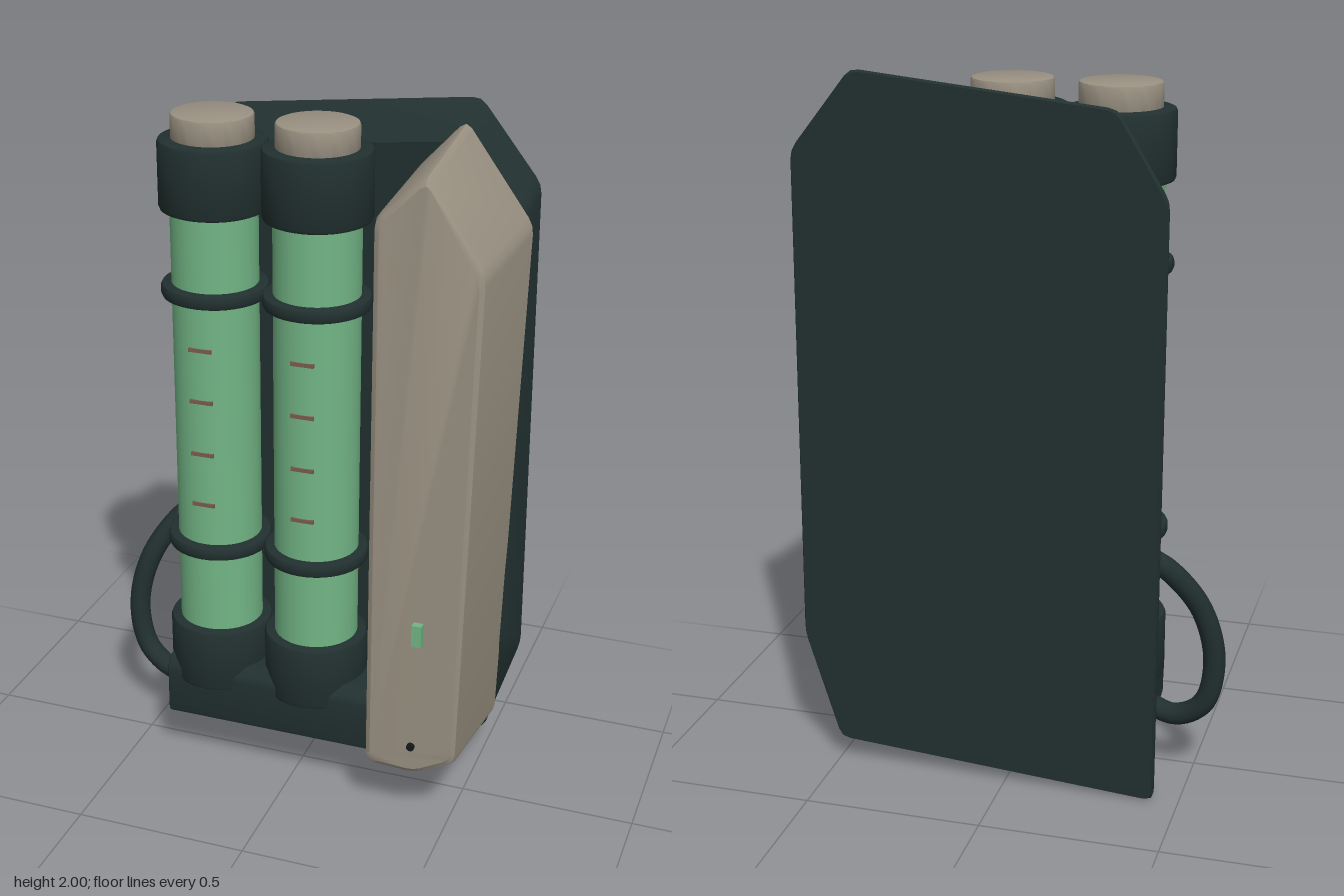
import * as THREE from 'three';
import { toCreasedNormals } from 'three/addons/utils/BufferGeometryUtils.js';

const mat = (name, color) => Object.assign(new THREE.MeshStandardMaterial({ color }), { name });

// Replace every corner of a polygon by a short three-point curve
function roundCorners(points, r) {
  const out = [];
  points.forEach((p, i) => {
    const c = new THREE.Vector2(...p);
    const a = new THREE.Vector2(...points.at(i - 1));
    const b = new THREE.Vector2(...points[(i + 1) % points.length]);
    const p0 = c.clone().add(a.sub(c).setLength(r));
    const p2 = c.clone().add(b.sub(c).setLength(r));
    const mid = p0.clone().add(p2).multiplyScalar(0.25).addScaledVector(c, 0.5);
    out.push(p0, mid, p2);
  });
  return out;
}

// Join counter-clockwise sections { z, pts } from back to front and cap both ends
function loft(sections, crease = 0.5) {
  const pos = [];
  const put = (s, i) => {
    const p = s.pts[i % s.pts.length];
    pos.push(p.x, p.y, s.z);
  };
  const n = sections[0].pts.length;
  for (let k = 0; k < sections.length - 1; k++) {
    const a = sections[k], b = sections[k + 1];
    for (let i = 0; i < n; i++) {
      put(a, i); put(a, i + 1); put(b, i + 1);
      put(a, i); put(b, i + 1); put(b, i);
    }
  }
  const first = sections[0], last = sections.at(-1);
  for (let i = 1; i < n - 1; i++) {
    put(first, 0); put(first, i + 1); put(first, i);
    put(last, 0); put(last, i); put(last, i + 1);
  }
  const g = new THREE.BufferGeometry();
  g.setAttribute('position', new THREE.Float32BufferAttribute(pos, 3));
  return toCreasedNormals(g, crease);
}

// Scale a section about a centre
const scaled = (pts, cx, cy, sx, sy) =>
  pts.map((p) => new THREE.Vector2(cx + (p.x - cx) * sx, cy + (p.y - cy) * sy));

// Solid turned cylinder with rounded rims
function drum(r, y0, y1, bevel) {
  const k = bevel * 0.3;
  const profile = [
    [0, y0], [r - bevel, y0], [r - k, y0 + k], [r, y0 + bevel],
    [r, y1 - bevel], [r - k, y1 - k], [r - bevel, y1], [0, y1],
  ].map((p) => new THREE.Vector2(...p));
  return toCreasedNormals(new THREE.LatheGeometry(profile, 40), 0.6);
}

export function createModel() {
  const model = new THREE.Group();
  model.name = 'tankPack';
  const dark = mat('darkSlate', 0x21302f);
  const beige = mat('warmGrey', 0x999081);
  const green = mat('tankGreen', 0x72b585);
  const brown = mat('markBrown', 0x7a5c4c);
  const black = mat('screwBlack', 0x15191a);

  const add = (name, geometry, material, parent = model) => {
    const mesh = new THREE.Mesh(geometry, material);
    mesh.name = name;
    parent.add(mesh);
    return mesh;
  };

  // Back plate: chamfered slab, narrower towards the front
  const plate = roundCorners([
    [-0.43, 0], [0.495, 0.07], [0.595, 0.39], [0.583, 1.78],
    [0.41, 2.0], [-0.3, 1.925], [-0.436, 1.7],
  ], 0.025);
  add('backPlate', loft([
    { z: -0.247, pts: scaled(plate, 0.08, 1, 0.99, 0.995) },
    { z: -0.237, pts: plate },
    { z: -0.222, pts: scaled(plate, 0.08, 1, 0.997, 0.993) },
    { z: -0.14, pts: scaled(plate, 0.08, 1, 0.955, 0.918) },
    { z: -0.13, pts: scaled(plate, 0.08, 1, 0.94, 0.905) },
  ]), dark);

  // Side case: tapered housing with a peaked top
  const caseBack = roundCorners([
    [0.267, 0.175], [0.42, 0.14], [0.55, 0.2], [0.59, 1.7], [0.4, 1.962], [0.267, 1.82],
  ], 0.025);
  const caseFront = roundCorners([
    [0.263, 0.18], [0.41, 0.172], [0.53, 0.23], [0.562, 1.67], [0.4, 1.915], [0.263, 1.79],
  ], 0.025);
  add('sideCase', loft([
    { z: -0.152, pts: scaled(caseBack, 0.42, 1.05, 0.92, 0.985) },
    { z: -0.135, pts: caseBack },
    { z: 0.2, pts: caseFront },
    { z: 0.217, pts: scaled(caseFront, 0.41, 1.05, 0.97, 0.992) },
    { z: 0.225, pts: scaled(caseFront, 0.41, 1.05, 0.88, 0.978) },
  ]), beige);
  add('indicatorLight', new THREE.BoxGeometry(0.028, 0.065, 0.024), green).position.set(0.414, 0.635, 0.234);
  const screw = add('caseScrew', new THREE.CylinderGeometry(0.011, 0.011, 0.012, 16), black);
  screw.rotation.x = Math.PI / 2;
  screw.position.set(0.402, 0.27, 0.23);

  // Base block: side profile swept across x, with a sloping underside
  const profile = new THREE.Shape(roundCorners([
    [-0.13, 0.16], [0.105, 0.085], [0.105, 0.345], [-0.1, 0.345], [-0.13, 0.315],
  ], 0.012));
  const base = new THREE.ExtrudeGeometry(profile, {
    depth: 0.66, bevelEnabled: true, bevelThickness: 0.01, bevelSize: 0.006, bevelOffset: -0.006, bevelSegments: 2,
  });
  base.rotateY(Math.PI / 2).translate(-0.37, 0, 0);
  add('baseBlock', toCreasedNormals(base, 0.5), dark);

  // Two tanks with end caps, clamps and level marks
  [-0.253, 0.042].forEach((x, i) => {
    const tank = new THREE.Group();
    tank.name = i ? 'leftTank' : 'rightTank';
    tank.position.set(x, 0, 0.005);
    model.add(tank);
    add('tankBody', new THREE.CylinderGeometry(0.12, 0.12, 1.3, 40, 1, true), green, tank).position.y = 1.08;
    add('lowerCap', drum(0.149, 0.27, 0.465, 0.012), dark, tank);
    add('upperCap', drum(0.149, 1.7, 1.895, 0.012), dark, tank);
    add('topPlug', drum(0.112, 1.88, 1.962, 0.008), beige, tank);
    for (const y of [0.72, 1.475]) add('clampRing', drum(0.149, y - 0.02, y + 0.02, 0.012), dark, tank);
    for (const y of [0.865, 1.02, 1.178, 1.33]) {
      add('levelMark', new THREE.BoxGeometry(0.066, 0.011, 0.009), brown, tank).position.set(0, y, 0.1185);
    }
  });

  // Hose looping from the plate edge down to the base block
  const path = new THREE.CatmullRomCurve3([
    [-0.39, 0.71, -0.185], [-0.45, 0.665, -0.165], [-0.53, 0.54, -0.115], [-0.565, 0.38, -0.09],
    [-0.535, 0.24, -0.08], [-0.45, 0.185, -0.06], [-0.35, 0.205, -0.035],
  ].map((p) => new THREE.Vector3(...p)));
  add('hose', new THREE.TubeGeometry(path, 48, 0.031, 16), dark);

  return model;
}
